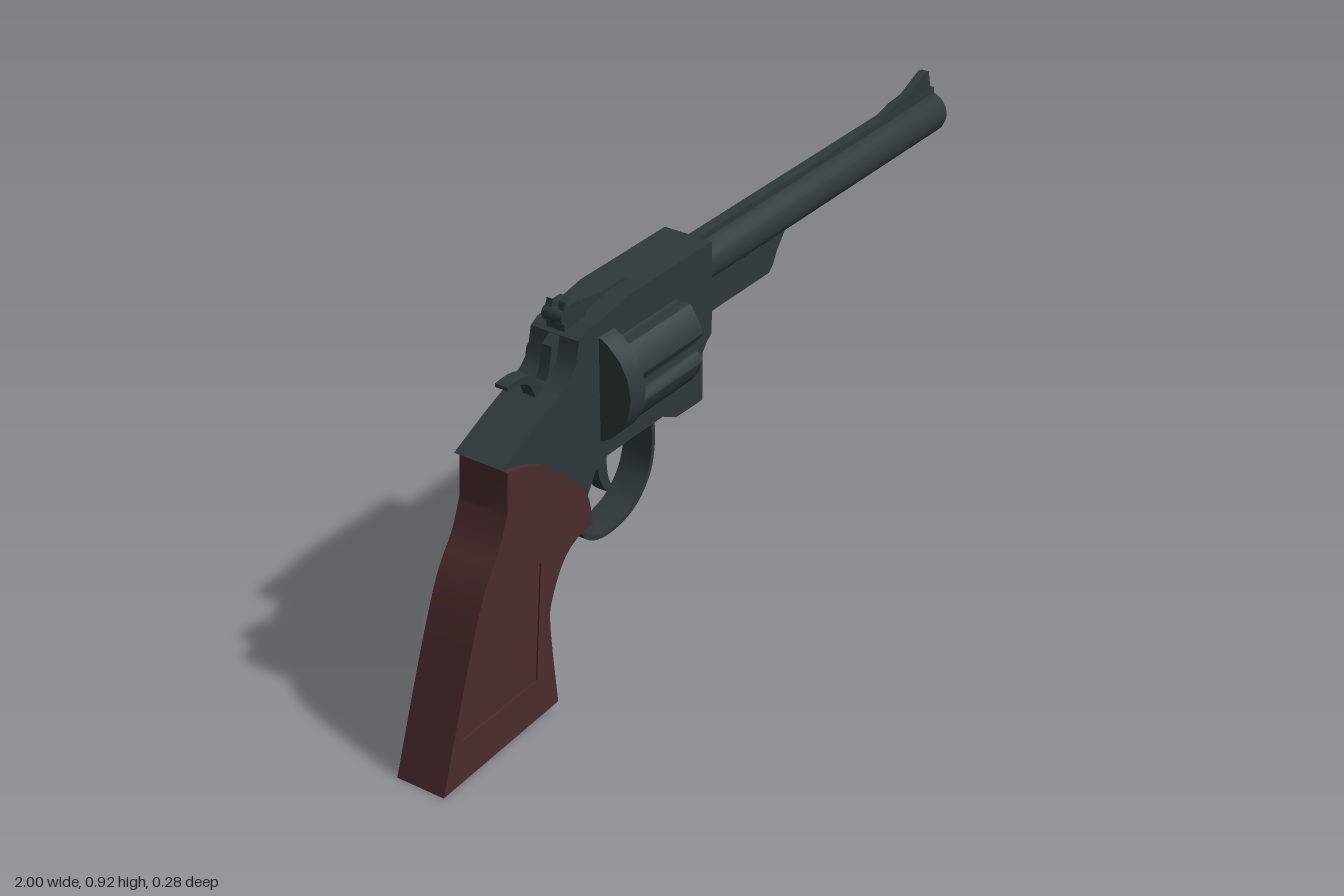
import * as THREE from 'three';
import { toCreasedNormals } from 'three/addons/utils/BufferGeometryUtils.js';

const steel = new THREE.MeshStandardMaterial({ color: 0x2f383b, side: THREE.DoubleSide });
const wood = new THREE.MeshStandardMaterial({ color: 0x4c2c2d, side: THREE.DoubleSide });
const MID = -0.003; // centre plane of the metal parts

const vec = (pts) => pts.map(([x, y]) => new THREE.Vector2(x, y));
const smooth = (pts, n = 16) => new THREE.SplineCurve(vec(pts)).getPoints(n);

export function createModel() {
  const root = new THREE.Group();

  const add = (name, geo, mat = steel) => {
    const mesh = new THREE.Mesh(toCreasedNormals(geo, 0.6), mat);
    mesh.name = name;
    root.add(mesh);
    return mesh;
  };
  // Side outline given thickness, centred on z
  const slab = (name, pts, width, z = MID, mat = steel, hole = null) => {
    const shape = new THREE.Shape(pts);
    if (hole) shape.holes.push(new THREE.Path(hole));
    const geo = new THREE.ExtrudeGeometry(shape, { depth: width, bevelEnabled: false });
    geo.translate(0, 0, z - width / 2);
    return add(name, geo, mat);
  };
  const box = (name, x0, x1, y0, y1, z0, z1) => {
    const geo = new THREE.BoxGeometry(x1 - x0, y1 - y0, z1 - z0);
    geo.translate((x0 + x1) / 2, (y0 + y1) / 2, (z0 + z1) / 2);
    return add(name, geo);
  };
  // Outline of a bent strip following a curve, tapering from t0 to t1
  const strip = (pts, t0, t1, n = 24) => {
    const curve = new THREE.SplineCurve(vec(pts));
    const a = [], b = [];
    for (let i = 0; i <= n; i++) {
      const u = i / n, p = curve.getPoint(u), t = curve.getTangent(u);
      const h = (t0 + (t1 - t0) * u) / 2;
      a.push(new THREE.Vector2(p.x - t.y * h, p.y + t.x * h));
      b.unshift(new THREE.Vector2(p.x + t.y * h, p.y - t.x * h));
    }
    return [...a, ...b];
  };

  // Frame
  const gripSeam = [[-0.476, 0.4], [-0.487, 0.47], [-0.524, 0.524], [-0.604, 0.6], [-0.674, 0.642], [-0.755, 0.665]];
  slab('frame', [
    ...vec([[-0.015, 0.879], [-0.32, 0.879], [-0.42, 0.862], [-0.47, 0.858], [-0.492, 0.845],
      [-0.505, 0.79], [-0.53, 0.765], [-0.57, 0.745], [-0.65, 0.713]]),
    ...smooth(gripSeam).reverse(),
    ...vec([[-0.476, 0.46], [-0.445, 0.51], [-0.4, 0.53], [-0.2, 0.53], [-0.15, 0.505],
      [-0.05, 0.503], [-0.05, 0.62], [-0.035, 0.64], [-0.015, 0.655]]),
  ], 0.125);

  // Grip with an inset panel on both sides
  const panel = [
    ...smooth([[-0.78, 0.46], [-0.83, 0.36], [-0.875, 0.257], [-0.932, 0.105]], 8),
    ...vec([[-0.68, 0.113], [-0.655, 0.396]]),
  ];
  const grip = [
    ...smooth(gripSeam),
    ...smooth([[-0.76, 0.57], [-0.79, 0.5], [-0.845, 0.417], [-0.91, 0.257], [-1, 0]]),
    ...smooth([[-0.61, 0.02], [-0.63, 0.225], [-0.62, 0.29], [-0.577, 0.364], [-0.524, 0.396], [-0.48, 0.4]]).slice(0, -1),
  ];
  slab('grip', grip, 0.125, 0.011, wood, panel);
  slab('gripPanel', panel, 0.117, 0.011, wood);

  // Fluted cylinder with six chambers
  const outline = [];
  const R = 0.133, D = 0.142, r = 0.03;
  for (let i = 0; i < 96; i++) {
    const a = (i / 96) * Math.PI * 2;
    const d = a - Math.round(a / (Math.PI / 3)) * (Math.PI / 3);
    const q = r * r - (D * Math.sin(d)) ** 2;
    const rad = q > 0 ? Math.min(R, D * Math.cos(d) - Math.sqrt(q)) : R;
    outline.push(new THREE.Vector2(rad * Math.cos(a), rad * Math.sin(a)));
  }
  const drum = new THREE.Shape(outline);
  for (let i = 0; i < 6; i++) {
    const a = Math.PI / 6 + (i * Math.PI) / 3;
    const hole = new THREE.Path();
    hole.absarc(0.095 * Math.cos(a), 0.095 * Math.sin(a), 0.024, 0, Math.PI * 2, true);
    drum.holes.push(hole);
  }
  const drumGeo = new THREE.ExtrudeGeometry(drum, { depth: 0.225, bevelEnabled: false, curveSegments: 8 });
  drumGeo.rotateY(Math.PI / 2);
  drumGeo.translate(-0.372, 0.7, 0);
  add('cylinder', drumGeo);
  const flange = new THREE.CylinderGeometry(0.14, 0.14, 0.053, 20);
  flange.rotateZ(Math.PI / 2);
  flange.translate(-0.398, 0.7, 0);
  add('cylinderRearRim', flange);

  // Barrel with an open bore
  const barrel = new THREE.LatheGeometry(
    vec([[0.052, -0.05], [0.052, 0.99], [0.049, 1], [0.04, 1], [0.038, 0.99], [0.038, 0.7], [0, 0.7]]), 20);
  barrel.rotateZ(-Math.PI / 2);
  barrel.translate(0, 0.799, -0.008);
  add('barrel', barrel);
  box('barrelRib', -0.03, 0.995, 0.83, 0.864, -0.02, 0.006);
  slab('underBarrelLug', vec([[-0.04, 0.665], [0.28, 0.665], [0.295, 0.678], [0.312, 0.71], [0.345, 0.75], [0.345, 0.77], [-0.04, 0.77]]), 0.03);

  // Sights
  slab('frontSight', vec([[0.74, 0.855], [0.76, 0.864], [0.82, 0.879], [0.875, 0.883], [0.955, 0.916], [0.97, 0.913], [0.983, 0.855]]), 0.02, -0.006);
  slab('rearSightLeaf', vec([[-0.46, 0.85], [-0.46, 0.893], [-0.41, 0.895], [-0.36, 0.888], [-0.26, 0.883], [-0.26, 0.86]]), 0.03);
  box('rearSightBase', -0.49, -0.42, 0.855, 0.893, -0.025, 0.021);
  for (const s of [-1, 1]) {
    const z = MID + s * 0.016;
    slab('rearSightPost', vec([[-0.5, 0.875], [-0.485, 0.92], [-0.475, 0.908], [-0.44, 0.908], [-0.42, 0.885]]), 0.016, z);
  }
  const screw = new THREE.CylinderGeometry(0.016, 0.016, 0.052, 12);
  screw.rotateX(Math.PI / 2);
  screw.translate(-0.487, 0.888, MID);
  add('rearSightScrew', screw);

  // Hammer with a curved spur
  slab('hammerSpur', strip([[-0.672, 0.8], [-0.63, 0.799], [-0.595, 0.785], [-0.57, 0.75], [-0.56, 0.71]], 0.008, 0.035), 0.032);
  slab('hammerBody', vec([[-0.59, 0.72], [-0.57, 0.755], [-0.545, 0.755], [-0.53, 0.78], [-0.52, 0.83], [-0.49, 0.845], [-0.47, 0.72]]), 0.026);

  // Trigger and its guard
  slab('trigger', strip([[-0.36, 0.55], [-0.362, 0.49], [-0.355, 0.44], [-0.335, 0.4], [-0.297, 0.375]], 0.045, 0.009), 0.034);
  slab('triggerGuard', strip([[-0.47, 0.47], [-0.474, 0.4], [-0.445, 0.338], [-0.375, 0.313], [-0.285, 0.328],
    [-0.225, 0.38], [-0.203, 0.45], [-0.205, 0.54]], 0.009, 0.012, 36), 0.077);

  return root;
}
